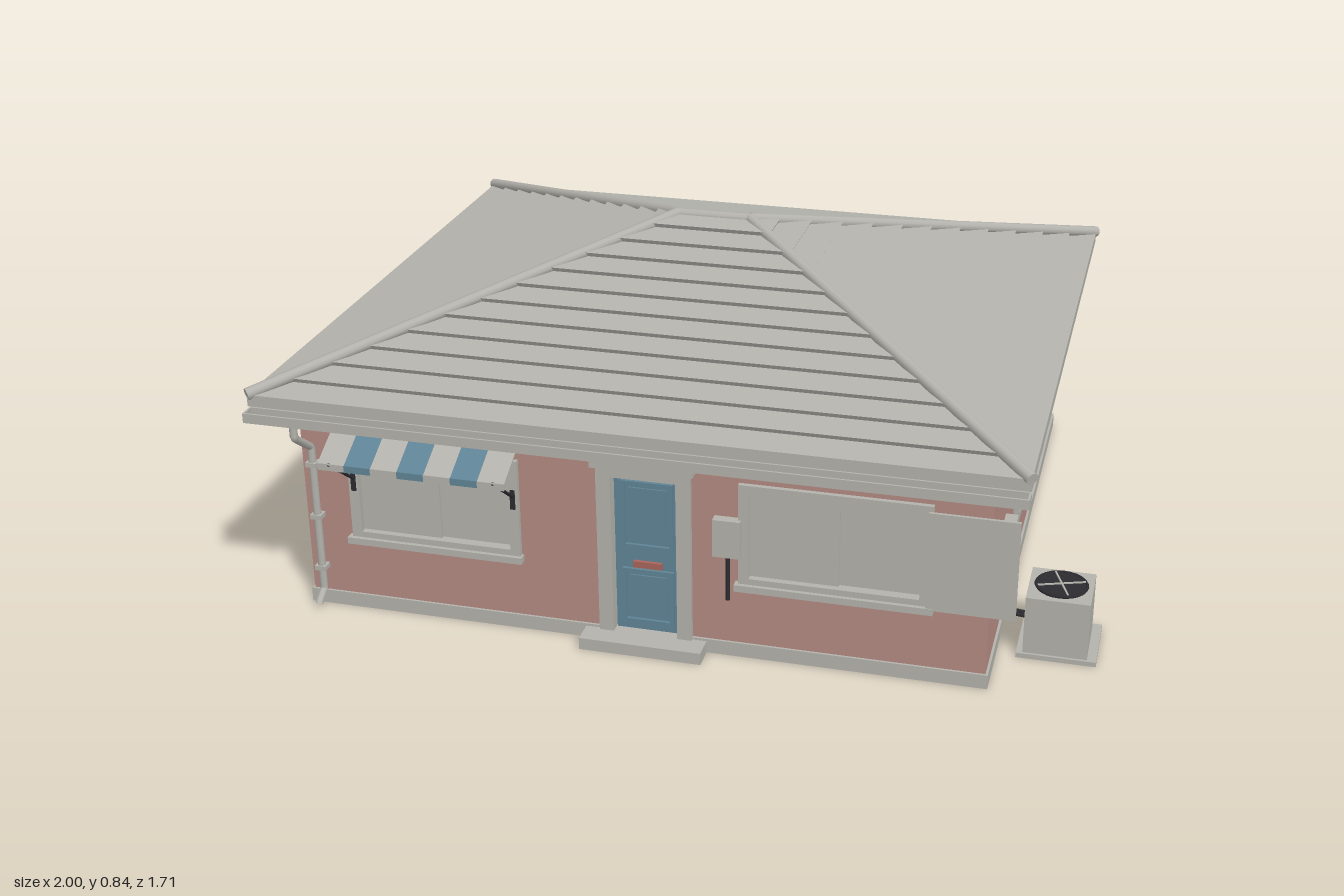
import * as THREE from 'three';

const mat = (name, color, double) => {
  const m = new THREE.MeshStandardMaterial({ color });
  m.name = name;
  if (double) m.side = THREE.DoubleSide;
  return m;
};
const grey = mat('stone grey', 0xb3b2ac, true);
const pink = mat('wall pink', 0xb58b83, true);
const blue = mat('door blue', 0x5f8496, true);
const dark = mat('dark metal', 0x2c2c30);
const red = mat('letter slot red', 0xa8655c);

function add(parent, name, geo, material) {
  const mesh = new THREE.Mesh(geo, material);
  mesh.name = name;
  parent.add(mesh);
  return mesh;
}
function box(parent, name, m, x0, x1, y0, y1, z0, z1) {
  const b = add(parent, name, new THREE.BoxGeometry(x1 - x0, y1 - y0, z1 - z0), m);
  b.position.set((x0 + x1) / 2, (y0 + y1) / 2, (z0 + z1) / 2);
  return b;
}
// straight round bar between two points
function rod(parent, name, m, p, q, r) {
  const a = new THREE.Vector3(...p), b = new THREE.Vector3(...q);
  const c = add(parent, name, new THREE.CylinderGeometry(r, r, a.distanceTo(b), 10), m);
  c.position.copy(a).add(b).multiplyScalar(0.5);
  c.quaternion.setFromUnitVectors(new THREE.Vector3(0, 1, 0), b.sub(a).normalize());
}
// bent pipe through straight segments
function pipe(parent, name, m, pts, r) {
  const path = new THREE.CurvePath();
  const v = pts.map(p => new THREE.Vector3(...p));
  for (let i = 1; i < v.length; i++) path.add(new THREE.LineCurve3(v[i - 1], v[i]));
  add(parent, name, new THREE.TubeGeometry(path, 48, r, 8, false), m);
}
function group(parent, name) {
  const g = new THREE.Group();
  g.name = name;
  parent.add(g);
  return g;
}

const X0 = -0.905, X1 = 0.76, Z0 = -0.757, Z1 = 0.717, EAVE = 0.555;
const RX = -0.0725, RZ = -0.021, HX = 0.9175, HZ = 0.823;

// flat wall from u0 to u1 with rectangular openings
function wall(parent, name, u0, u1, holes = []) {
  const rect = (C, a, b, c, d) => {
    const s = new C();
    s.moveTo(a, c); s.lineTo(b, c); s.lineTo(b, d); s.lineTo(a, d); s.closePath();
    return s;
  };
  const shape = rect(THREE.Shape, u0, u1, 0, EAVE);
  for (const h of holes) shape.holes.push(rect(THREE.Path, ...h));
  return add(parent, name, new THREE.ShapeGeometry(shape), pink);
}

// framed window facing +z, local z = 0 at the wall
function windowUnit(parent, name, x0, x1, y0, y1) {
  const g = group(parent, name), t = 0.025, xm = (x0 + x1) / 2;
  box(g, 'frameTop', grey, x0, x1, y1 - t, y1, -0.02, 0.012);
  box(g, 'frameBottom', grey, x0, x1, y0, y0 + t, -0.02, 0.012);
  box(g, 'frameSide', grey, x0, x0 + t, y0 + t, y1 - t, -0.02, 0.012);
  box(g, 'frameSide', grey, x1 - t, x1, y0 + t, y1 - t, -0.02, 0.012);
  box(g, 'paneFront', grey, x0 + t, xm + 0.01, y0 + t, y1 - t, -0.012, -0.004);
  box(g, 'paneBack', grey, xm - 0.01, x1 - t, y0 + t, y1 - t, -0.02, -0.012);
  return g;
}

function buildRoof(parent) {
  const g = group(parent, 'roof');
  // profile of [inset, height] from soffit to ridge in stepped courses
  const n = 12, prof = [[0, EAVE]];
  const y = i => 0.573 + (0.83 - 0.573) * i / n;
  for (let i = 0; i < n; i++) {
    const d = HZ * i / n;
    prof.push([d + (i ? 0.006 : 0), y(i)], [d, y(i) + 0.011]);
  }
  prof.push([HZ, y(n) + 0.003]);
  const ring = ([d, h]) => [[-1, 1], [1, 1], [1, -1], [-1, -1]]
    .map(([sx, sz]) => [RX + sx * (HX - d), h, RZ + sz * (HZ - d)]);
  const pos = [];
  for (let i = 1; i < prof.length; i++) {
    const a = ring(prof[i - 1]), b = ring(prof[i]);
    for (let j = 0; j < 4; j++) {
      const k = (j + 1) % 4;
      pos.push(...a[j], ...a[k], ...b[k], ...a[j], ...b[k], ...b[j]);
    }
  }
  const s = ring(prof[0]);
  pos.push(...s[0], ...s[2], ...s[1], ...s[0], ...s[3], ...s[2]);
  const geo = new THREE.BufferGeometry();
  geo.setAttribute('position', new THREE.Float32BufferAttribute(pos, 3));
  geo.computeVertexNormals();
  add(g, 'roofCourses', geo, grey);
  // hip and ridge caps
  const rx = HX - HZ;
  for (const sx of [-1, 1]) for (const sz of [-1, 1])
    rod(g, 'hipCap', grey, [RX + sx * HX, 0.585, RZ + sz * HZ], [RX + sx * rx, 0.83, RZ], 0.015);
  rod(g, 'ridgeCap', grey, [RX - rx, 0.828, RZ], [RX + rx, 0.828, RZ], 0.015);
  // front gutter
  const a = RX - HX, b = RX + HX;
  box(g, 'gutterBase', grey, a, b, 0.525, 0.53, 0.79, 0.832);
  box(g, 'gutterFront', grey, a, b, 0.53, 0.549, 0.827, 0.832);
  box(g, 'gutterBack', grey, a, b, 0.53, 0.549, 0.79, 0.795);
  for (const x of [a, b - 0.005]) box(g, 'gutterEnd', grey, x, x + 0.005, 0.53, 0.549, 0.795, 0.827);
}

function buildDoor(parent) {
  const g = group(parent, 'door');
  box(g, 'doorLeaf', blue, -0.125, 0.035, 0.03, 0.44, 0.69, 0.705);
  for (const [y0, y1] of [[0.25, 0.425], [0.05, 0.195]]) {
    // raised moulding around a sunken panel
    box(g, 'moulding', blue, -0.108, 0.018, y1 - 0.01, y1, 0.705, 0.713);
    box(g, 'moulding', blue, -0.108, 0.018, y0, y0 + 0.01, 0.705, 0.713);
    for (const x of [-0.108, 0.008]) box(g, 'moulding', blue, x, x + 0.01, y0, y1, 0.705, 0.713);
    box(g, 'panel', blue, -0.09, 0, y0 + 0.018, y1 - 0.018, 0.705, 0.709);
  }
  box(g, 'letterSlot', red, -0.08, -0.01, 0.2, 0.216, 0.705, 0.714);
  for (const x of [-0.162, 0.03]) box(g, 'doorJamb', grey, x, x + 0.035, 0.03, 0.455, 0.69, 0.73);
  box(g, 'doorLintel', grey, -0.162, 0.065, 0.438, 0.465, 0.69, 0.73);
  box(g, 'doorHood', grey, -0.172, 0.075, 0.465, 0.485, 0.715, 0.745);
  box(g, 'doorStep', grey, -0.198, 0.1, 0, 0.03, 0.69, 0.782);
}

function buildAwning(parent) {
  const g = group(parent, 'awning'), x0 = -0.8, w = 0.46 / 7;
  for (let i = 0; i < 7; i++) {
    const m = i % 2 ? blue : grey, xa = x0 + i * w;
    const cloth = box(g, 'awningStripe', m, xa, xa + w, 0.481, 0.484, 0.72, 0.858);
    cloth.rotation.x = 0.5;
    box(g, 'awningValance', m, xa, xa + w, 0.435, 0.452, 0.848, 0.851);
  }
  rod(g, 'awningRoller', dark, [x0, 0.515, 0.729], [x0 + 0.46, 0.515, 0.729], 0.011);
  for (const x of [-0.772, -0.368]) {
    rod(g, 'awningArm', dark, [x, 0.45, 0.85], [x, 0.36, 0.732], 0.004);
    box(g, 'armBracket', dark, x - 0.006, x + 0.006, 0.325, 0.375, 0.717, 0.732);
  }
}

function buildAirConditioner(parent) {
  const g = group(parent, 'airConditioner'), cx = 0.903, cz = 0.483;
  box(g, 'basePlate', grey, 0.812, 1, 0, 0.012, 0.388, 0.567);
  box(g, 'casing', grey, 0.827, 0.978, 0.012, 0.158, 0.407, 0.56);
  const fan = add(g, 'fanOpening', new THREE.CylinderGeometry(0.06, 0.06, 0.006, 24), dark);
  fan.position.set(cx, 0.16, cz);
  const rim = add(g, 'fanRim', new THREE.TorusGeometry(0.06, 0.004, 6, 24), dark);
  rim.rotation.x = Math.PI / 2;
  rim.position.set(cx, 0.162, cz);
  for (let i = 0; i < 2; i++) {
    const bar = add(g, 'fanBar', new THREE.BoxGeometry(0.116, 0.003, 0.004), grey);
    bar.position.set(cx, 0.165, cz);
    bar.rotation.y = 0.35 + i * Math.PI / 2;
  }
  box(g, 'isolatorBox', grey, X1, X1 + 0.03, 0.24, 0.318, 0.455, 0.508);
  for (const z of [0.472, 0.488])
    pipe(g, 'cable', dark, [[0.772, 0.24, z], [0.772, 0.09, z], [0.782, 0.073, z], [0.832, 0.068, z]], 0.005);
}

export function createModel() {
  const model = new THREE.Group();
  model.name = 'bungalow';

  // walls
  const walls = group(model, 'walls');
  wall(walls, 'frontWall', X0, X1, [[-0.135, 0.04, 0.01, 0.445], [-0.775, -0.365, 0.2, 0.44], [0.19, 0.615, 0.2, 0.445]])
    .position.z = Z1;
  const back = wall(walls, 'backWall', -X1, -X0);
  back.rotation.y = Math.PI;
  back.position.z = Z0;
  const left = wall(walls, 'leftWall', -Z1, -Z0, [[-0.255, -0.005, 0.2, 0.445]]);
  left.rotation.y = Math.PI / 2;
  left.position.x = X1;
  const right = wall(walls, 'rightWall', Z0, Z1);
  right.rotation.y = -Math.PI / 2;
  right.position.x = X0;

  // plinth
  const p = 0.006, h = 0.036;
  for (const [a, b] of [[X0 - p, -0.165], [0.065, X1 + p]]) box(walls, 'plinthFront', grey, a, b, 0, h, Z1 - p, Z1 + p);
  box(walls, 'plinthBack', grey, X0 - p, X1 + p, 0, h, Z0 - p, Z0 + p);
  for (const x of [X0, X1]) box(walls, 'plinthSide', grey, x - p, x + p, 0, h, Z0 + p, Z1 - p);

  buildRoof(model);
  buildDoor(model);

  // windows
  const w1 = windowUnit(model, 'awningWindow', -0.785, -0.355, 0.19, 0.45);
  const w2 = windowUnit(model, 'shutterWindow', 0.178, 0.627, 0.19, 0.455);
  box(w1, 'sill', grey, -0.795, -0.35, 0.183, 0.2, 0, 0.022);
  box(w2, 'sill', grey, 0.17, 0.635, 0.183, 0.2, 0, 0.022);
  box(w2, 'shutter', grey, 0.617, 0.822, 0.195, 0.442, 0.012, 0.02);
  w1.position.z = w2.position.z = Z1;
  const w3 = windowUnit(model, 'sideWindow', -0.266, 0.008, 0.185, 0.455);
  for (const x of [-0.232, -0.129, -0.026]) box(w3, 'upright', grey, x - 0.004, x + 0.004, 0.21, 0.43, -0.004, 0.004);
  for (let i = 1; i < 4; i++) box(w3, 'crossBar', grey, -0.241, -0.017, 0.207 + i * 0.055, 0.213 + i * 0.055, -0.004, 0.003);
  w3.rotation.y = Math.PI / 2;
  w3.position.x = X1;

  buildAwning(model);
  buildAirConditioner(model);

  // downpipe with brackets
  pipe(model, 'downpipe', grey, [[-0.873, 0.53, 0.812], [-0.873, 0.49, 0.812], [-0.873, 0.43, 0.732],
    [-0.873, 0.045, 0.732], [-0.873, 0.022, 0.765]], 0.01);
  for (const y of [0.1, 0.24, 0.38]) box(model, 'pipeBracket', grey, -0.887, -0.859, y, y + 0.012, Z1, 0.744);

  // meter box beside the door
  box(model, 'meterBox', grey, 0.12, 0.186, 0.27, 0.365, Z1, 0.742);
  rod(model, 'meterCable', dark, [0.152, 0.15, 0.723], [0.152, 0.27, 0.723], 0.005);
  return model;
}
